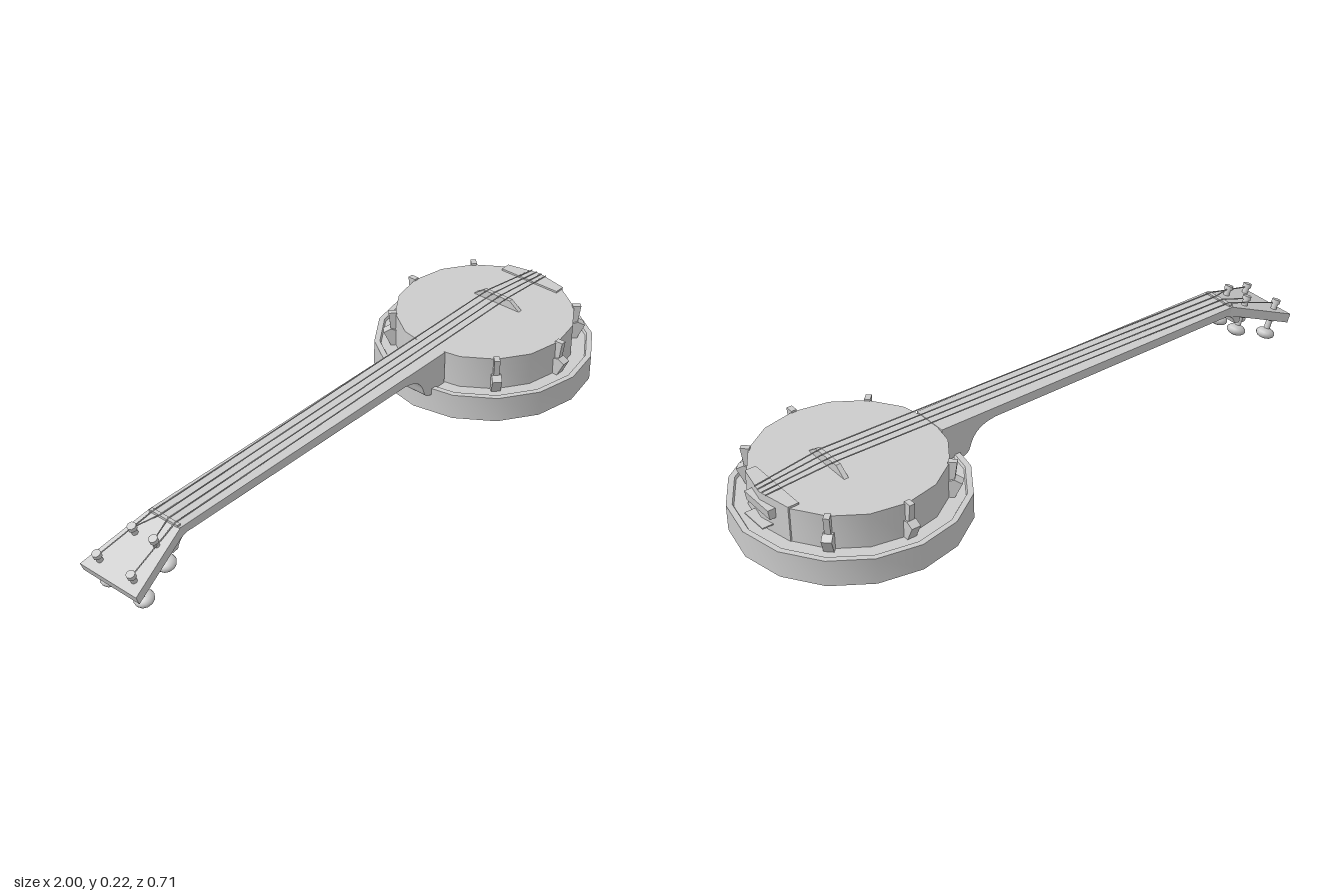
import * as THREE from 'three';
import { toCreasedNormals } from 'three/addons/utils/BufferGeometryUtils.js';

const BODY_X = 0.645;
const material = new THREE.MeshStandardMaterial({ color: 0xcccccc });

function add(parent, name, geometry, x = 0, y = 0, z = 0) {
  const mesh = new THREE.Mesh(geometry, material);
  mesh.name = name;
  mesh.position.set(x, y, z);
  parent.add(mesh);
  return mesh;
}

// Side profile in x/y, extruded to a width centred on z = 0
function slab(points, width) {
  const shape = new THREE.Shape(points.map(([x, y]) => new THREE.Vector2(x, y)));
  const geometry = new THREE.ExtrudeGeometry(shape, { depth: width, bevelEnabled: false });
  return geometry.translate(0, 0, -width / 2);
}

// Plan outline in x/z, extruded downwards from y = 0
function plate(points, thickness) {
  return slab(points, thickness).rotateX(Math.PI / 2).translate(0, -thickness / 2, 0);
}

function lathe(points) {
  const profile = points.map(([r, y]) => new THREE.Vector2(r, y));
  return toCreasedNormals(new THREE.LatheGeometry(profile, 16), 0.6);
}

// Thin straight wire between two points
function wire(parent, a, b) {
  const dir = b.clone().sub(a);
  const mesh = add(parent, 'string', new THREE.CylinderGeometry(0.002, 0.002, dir.length(), 5));
  mesh.position.copy(a).add(b).multiplyScalar(0.5);
  mesh.quaternion.setFromUnitVectors(new THREE.Vector3(0, 1, 0), dir.normalize());
}

function createBody() {
  const body = new THREE.Group();
  body.name = 'body';
  body.position.x = BODY_X;
  add(body, 'resonator', lathe([
    [0, 0.012], [0.328, 0.012], [0.335, 0], [0.354, 0], [0.354, 0.085],
    [0.336, 0.085], [0.332, 0.077], [0, 0.077],
  ]));
  add(body, 'drum', lathe([[0, 0.07], [0.288, 0.07], [0.288, 0.187], [0, 0.187]]));

  // Tension hooks around the drum, leaving neck and tail free
  const lower = [[0.28, 0.075], [0.301, 0.075], [0.325, 0.125], [0.302, 0.137], [0.28, 0.13]];
  const upper = [[0.278, 0.12], [0.3, 0.12], [0.31, 0.193], [0.283, 0.193]];
  for (const deg of [45, 90, 135, 225, 270, 315]) {
    const hook = new THREE.Group();
    hook.name = 'tensionHook';
    hook.rotation.y = THREE.MathUtils.degToRad(deg);
    add(hook, 'hookBracket', slab(lower, 0.03));
    add(hook, 'hookTab', slab(upper, 0.018));
    body.add(hook);
  }

  // Tail plate wrapping the two drum facets at the far end
  add(body, 'tailPlate', plate([[0.235, -0.111], [0.27, -0.111], [0.293, 0], [0.27, 0.111], [0.235, 0.111]], 0.115), 0, 0.193);
  add(body, 'tailpiece', slab([[0.27, 0.135], [0.3, 0.135], [0.305, 0.167], [0.27, 0.167]], 0.122));
  add(body, 'tailTab', new THREE.BoxGeometry(0.05, 0.004, 0.094), 0.293, 0.105);

  // Bridge: trapezoid standing across the drum head
  const bridge = add(body, 'bridge', slab([[-0.09, 0], [0.09, 0], [0.052, 0.027], [-0.052, 0.027]], 0.015), 0.067, 0.187);
  bridge.rotation.y = Math.PI / 2;
  return body;
}

function createNeck() {
  // Flat neck with a curved heel and a stepped throat below the nut
  const shape = new THREE.Shape();
  shape.moveTo(-0.785, 0.183);
  shape.lineTo(-0.82, 0.14);
  shape.lineTo(-0.815, 0.115);
  shape.lineTo(-0.795, 0.118);
  shape.quadraticCurveTo(-0.785, 0.153, -0.755, 0.155);
  shape.lineTo(0.17, 0.157);
  shape.bezierCurveTo(0.24, 0.152, 0.255, 0.12, 0.265, 0.09);
  shape.quadraticCurveTo(0.272, 0.066, 0.3, 0.064);
  shape.lineTo(0.365, 0.064);
  shape.lineTo(0.365, 0.189);
  const geometry = new THREE.ExtrudeGeometry(shape, { depth: 0.124, bevelEnabled: false, curveSegments: 6 });
  return toCreasedNormals(geometry.translate(0, 0, -0.062), 0.6);
}

function createHead() {
  const head = new THREE.Group();
  head.name = 'headstock';
  head.position.set(-0.78, 0.183, 0);
  head.rotation.z = 0.36;
  add(head, 'headPlate', plate([[0, -0.062], [0, 0.062], [-0.235, 0.11], [-0.235, -0.11]], 0.03));

  // Tuning pegs: post, collar and flattened button
  for (const [x, z] of [[-0.197, 0.067], [-0.079, 0.042]]) {
    for (const side of [-1, 1]) {
      const peg = new THREE.Group();
      peg.name = 'tuningPeg';
      peg.position.set(x, 0, side * z);
      add(peg, 'pegShaft', new THREE.CylinderGeometry(0.01, 0.01, 0.115, 8), 0, -0.027);
      add(peg, 'pegCap', new THREE.CylinderGeometry(0.014, 0.014, 0.014, 8), 0, 0.026);
      add(peg, 'pegCollar', new THREE.CylinderGeometry(0.016, 0.016, 0.01, 8), 0, -0.034);
      add(peg, 'pegButton', new THREE.SphereGeometry(0.031, 12, 8).scale(1, 0.58, 1), 0, -0.085);
      head.add(peg);
    }
  }
  return head;
}

export function createModel() {
  const model = new THREE.Group();
  model.name = 'banjo';
  model.add(createBody());
  add(model, 'neck', createNeck());
  model.add(createHead());
  add(model, 'nut', new THREE.BoxGeometry(0.012, 0.01, 0.11), -0.78, 0.184);

  // Strings: peg, nut, bridge, tail
  const runs = [
    [[-0.975, 0.133, 0.067], [-0.78, 0.19, 0.042], [0.712, 0.217, 0.039], [0.935, 0.195, 0.028]],
    [[-0.863, 0.177, 0.042], [-0.78, 0.19, 0.014], [0.712, 0.217, 0.013], [0.935, 0.195, 0.01]],
  ];
  for (const run of runs) {
    for (const side of [-1, 1]) {
      const points = run.map(([x, y, z]) => new THREE.Vector3(x, y, side * z));
      for (let i = 0; i < 3; i++) wire(model, points[i], points[i + 1]);
    }
  }
  return model;
}
